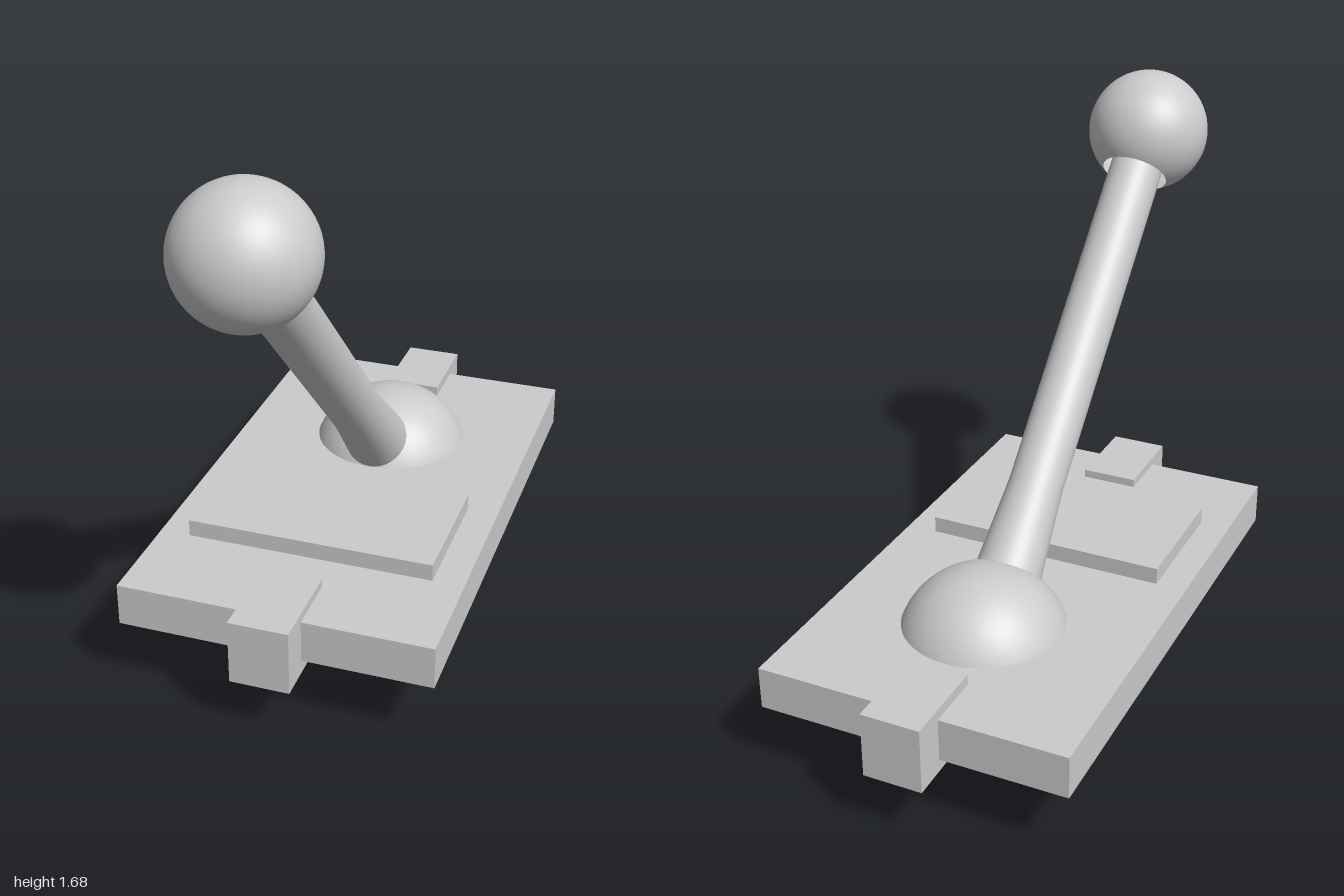
import * as THREE from 'three';

export function createModel() {
  const model = new THREE.Group();
  model.name = 'leverSwitch';
  const solid = new THREE.MeshStandardMaterial({ color: 0xcccccc });
  const shell = new THREE.MeshStandardMaterial({ color: 0xcccccc, side: THREE.DoubleSide });

  const add = (parent, name, geometry, material) => {
    const mesh = new THREE.Mesh(geometry, material);
    mesh.name = name;
    parent.add(mesh);
    return mesh;
  };

  // Box given by its lower and upper corners
  const box = (name, [x0, y0, z0], [x1, y1, z1]) =>
    add(model, name, new THREE.BoxGeometry(x1 - x0, y1 - y0, z1 - z0), solid)
      .position.set((x0 + x1) / 2, (y0 + y1) / 2, (z0 + z1) / 2);

  // Mounting plate, raised panel and the two end clips
  box('basePlate', [-0.473, 0.232, -0.9], [0.47, 0.362, 0.677]);
  box('raisedPanel', [-0.38, 0.34, -0.035], [0.375, 0.414, 0.37]);
  box('frontClip', [-0.093, 0.19, 0.5], [0.085, 0.388, 0.775]);
  box('backClip', [-0.093, 0.194, -1], [0.085, 0.394, -0.725]);

  // Lever: built upright around the pivot, then tilted 45 degrees forward
  const lever = new THREE.Group();
  lever.name = 'lever';
  lever.position.set(0.008, 0.265, -0.425);
  lever.rotation.x = Math.PI / 4;
  model.add(lever);

  // Open ball, cut off flat at a distance below its centre
  const cutBall = (name, radius, cut, height) =>
    add(lever, name, new THREE.SphereGeometry(radius, 64, 40, 0, Math.PI * 2, 0, Math.acos(-cut / radius)), shell)
      .position.y = height;
  cutBall('pivotBall', 0.26, 0.148, 0);
  cutBall('knob', 0.191, 0.16, 1.747);

  // Rod with a flared foot
  const profile = [[0.101, 0.23], [0.083, 0.51], [0.083, 1.62]].map(([r, y]) => new THREE.Vector2(r, y));
  add(lever, 'rod', new THREE.LatheGeometry(profile, 48), shell);

  return model;
}
